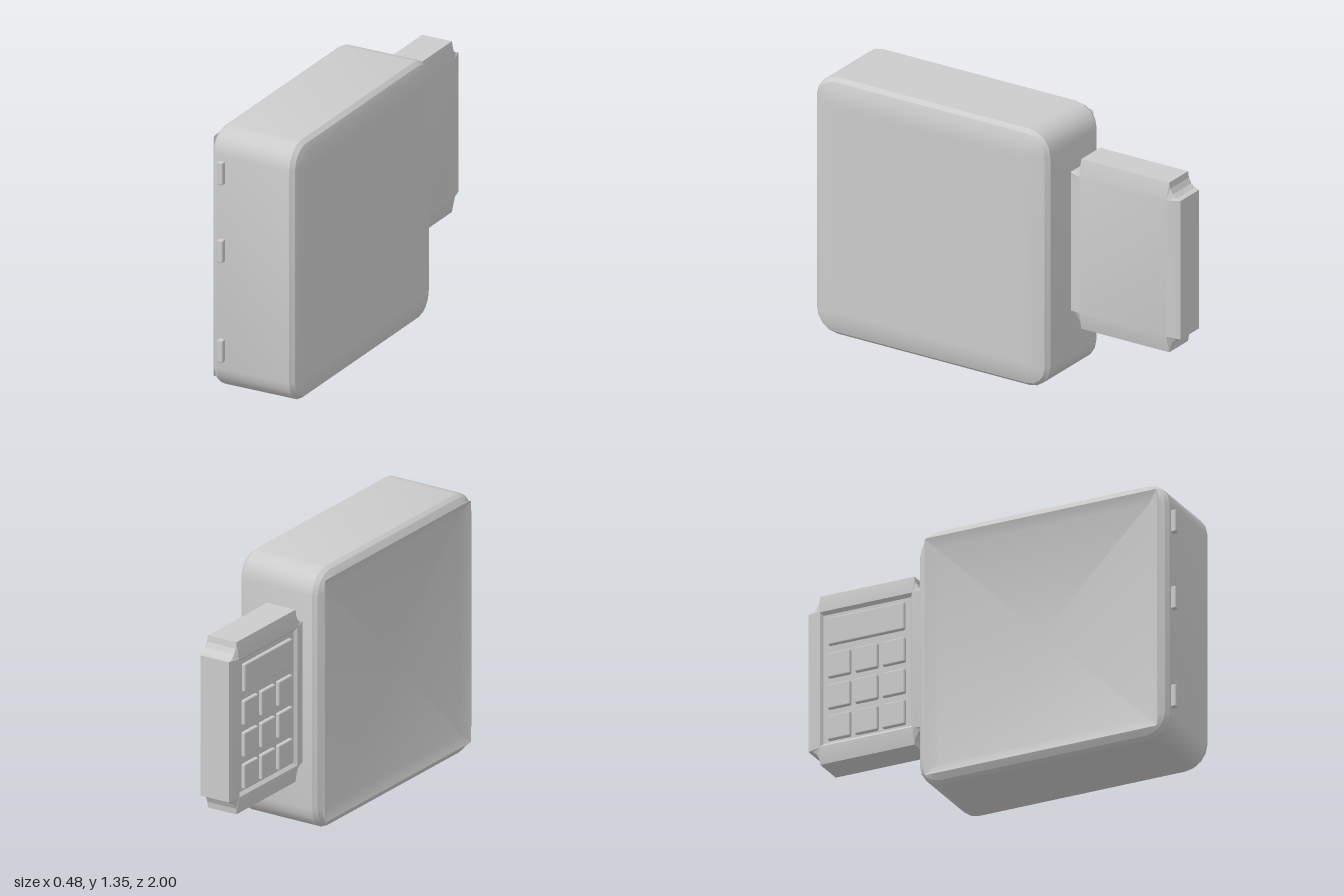
import * as THREE from 'three';
import { toCreasedNormals } from 'three/addons/utils/BufferGeometryUtils.js';
import { RoundedBoxGeometry } from 'three/addons/geometries/RoundedBoxGeometry.js';

const material = new THREE.MeshStandardMaterial({ color: 0xcccccc });
const SEG = 4; // facets per corner

// Rectangle outline at a given x; r > 0 rounds the corners, r < 0 scoops them out
function ring(x, halfZ, halfY, r, stretchY, centreZ, centreY) {
  const points = [];
  const R = Math.abs(r), pull = Math.max(r, 0), quarter = Math.PI / 2;
  [[1, 1], [-1, 1], [-1, -1], [1, -1]].forEach(([su, sv], k) => {
    for (let i = 0; i <= SEG; i++) {
      const t = i / SEG;
      const a = quarter * (k + (r >= 0 ? t : -1 - t));
      const u = su * (halfZ - pull) + R * Math.cos(a);
      const v = sv * (halfY - pull * stretchY) + R * stretchY * Math.sin(a);
      points.push(new THREE.Vector3(x, centreY + v, centreZ - u));
    }
  });
  return points;
}

// Skin a series of outlines running from +x towards -x, closed at both ends.
// Each section is [x, inset, corner radius]; stretchY enlarges insets and corners in y.
function loft(sections, halfZ, halfY, centreZ, centreY, stretchY, crease) {
  const rings = sections.map(([x, inset, r]) =>
    ring(x, halfZ - inset, halfY - inset * stretchY, r, stretchY, centreZ, centreY));
  const n = rings[0].length;
  const pos = [];
  const tri = (a, b, c) => {
    if (new THREE.Triangle(a, b, c).getArea() < 1e-9) return;
    for (const p of [a, b, c]) pos.push(p.x, p.y, p.z);
  };
  const last = rings.length - 1;
  const start = new THREE.Vector3(sections[0][0], centreY, centreZ);
  const end = new THREE.Vector3(sections[last][0], centreY, centreZ);
  for (let j = 0; j < n; j++) {
    const k = (j + 1) % n;
    tri(start, rings[0][j], rings[0][k]);
    tri(end, rings[last][k], rings[last][j]);
    for (let i = 0; i < last; i++) {
      const a = rings[i], b = rings[i + 1];
      tri(a[j], b[j], a[k]);
      tri(a[k], b[j], b[k]);
    }
  }
  const geometry = new THREE.BufferGeometry();
  geometry.setAttribute('position', new THREE.Float32BufferAttribute(pos, 3));
  return toCreasedNormals(geometry, crease);
}

export function createModel() {
  const model = new THREE.Group();
  model.name = 'wallBoxWithKeypad';
  const add = (name, geometry, parent = model) => {
    const mesh = new THREE.Mesh(geometry, material);
    mesh.name = name;
    parent.add(mesh);
    return mesh;
  };
  const block = (name, w, h, d, x, y, z, r, parent) =>
    add(name, new RoundedBoxGeometry(w, h, d, 1, r), parent).position.set(x, y, z);

  // Rounded cabinet; its -x face is a square rim sloping in to a shallow flat panel
  add('cabinet', loft([
    [0.242, 0.14, 0.005],
    [0.242, 0.115, 0.012],
    [0.235, 0.055, 0.065],
    [0.222, 0.018, 0.102],
    [0.2, 0, 0.12],
    [-0.2, 0, 0.12],
    [-0.222, 0.014, 0.106],
    [-0.236, 0.036, 0.084],
    [-0.242, 0.046, 0.01],
    [-0.218, 0.102, 0.006],
  ], 0.6725, 0.6725, 0.3025, 0.6725, 1, 0.42));

  // Three small hinges down the front edge
  for (const y of [0.217, 0.737, 1.142]) {
    block('hinge', 0.032, 0.117, 0.04, -0.17, y, 0.98, 0.006);
  }

  // Side panel with scooped corners, raised +x face and shallow keypad bed
  const keypad = new THREE.Group();
  keypad.name = 'keypad';
  model.add(keypad);
  add('keypadPanel', loft([
    [0.04, 0.068, 0],
    [0.02, 0, -0.064],
    [-0.143, 0, -0.064],
    [-0.158, 0.066, 0],
    [-0.158, 0.07, 0],
    [-0.143, 0.082, 0],
  ], 0.3175, 0.445, -0.6825, 0.717, 1.28, 0.3), keypad);

  // Display and 3 x 3 buttons
  block('display', 0.03, 0.145, 0.41, -0.146, 0.962, -0.682, 0.008, keypad);
  for (let row = 0; row < 3; row++) {
    for (let col = 0; col < 3; col++) {
      block('button', 0.03, 0.13, 0.122, -0.146,
        0.782 - row * 0.165, -0.682 + (col - 1) * 0.147, 0.008, keypad);
    }
  }
  return model;
}
